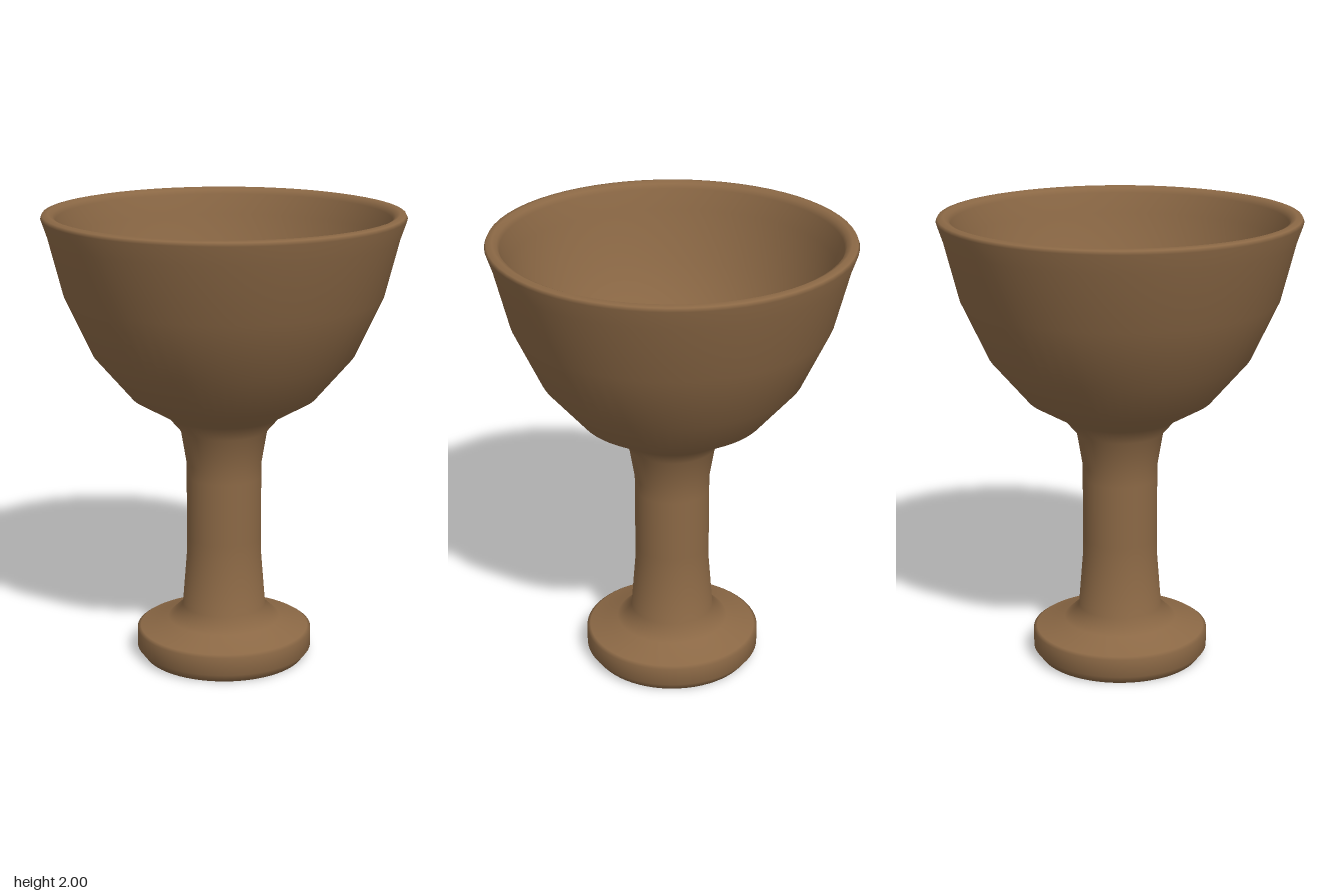
import * as THREE from 'three';

export function createModel() {
  const model = new THREE.Group();
  model.name = 'goblet';
  const wood = new THREE.MeshStandardMaterial({ color: 0x8b6845 });
  wood.name = 'brown wood';

  // Turn a [radius, height] profile around the vertical axis.
  function turn(name, profile) {
    const points = profile.map(([r, y]) => new THREE.Vector2(r, y));
    const mesh = new THREE.Mesh(new THREE.LatheGeometry(points, 64), wood);
    mesh.name = name;
    model.add(mesh);
  }

  // Round foot, flaring up into the stem
  turn('foot', [
    [0, 0], [0.36, 0], [0.39, 0.04], [0.39, 0.12], [0.375, 0.13],
    [0.25, 0.17], [0.185, 0.23], [0.165, 0.48], [0.165, 0.55],
  ]);

  // Straight middle of the stem
  turn('stem', [[0.165, 0.55], [0.165, 0.83]]);

  // Hollow bowl: outside up to the rim, then down the inside
  turn('bowl', [
    [0.165, 0.83], [0.165, 0.89], [0.19, 1.04], [0.25, 1.11], [0.405, 1.2],
    [0.567, 1.39], [0.687, 1.65], [0.75, 1.9], [0.777, 1.98], [0.77, 1.995],
    [0.745, 2], [0.725, 1.99], [0.715, 1.97], [0.69, 1.88], [0.63, 1.65], [0.515, 1.42],
    [0.37, 1.26], [0.2, 1.18], [0, 1.15],
  ]);

  return model;
}
